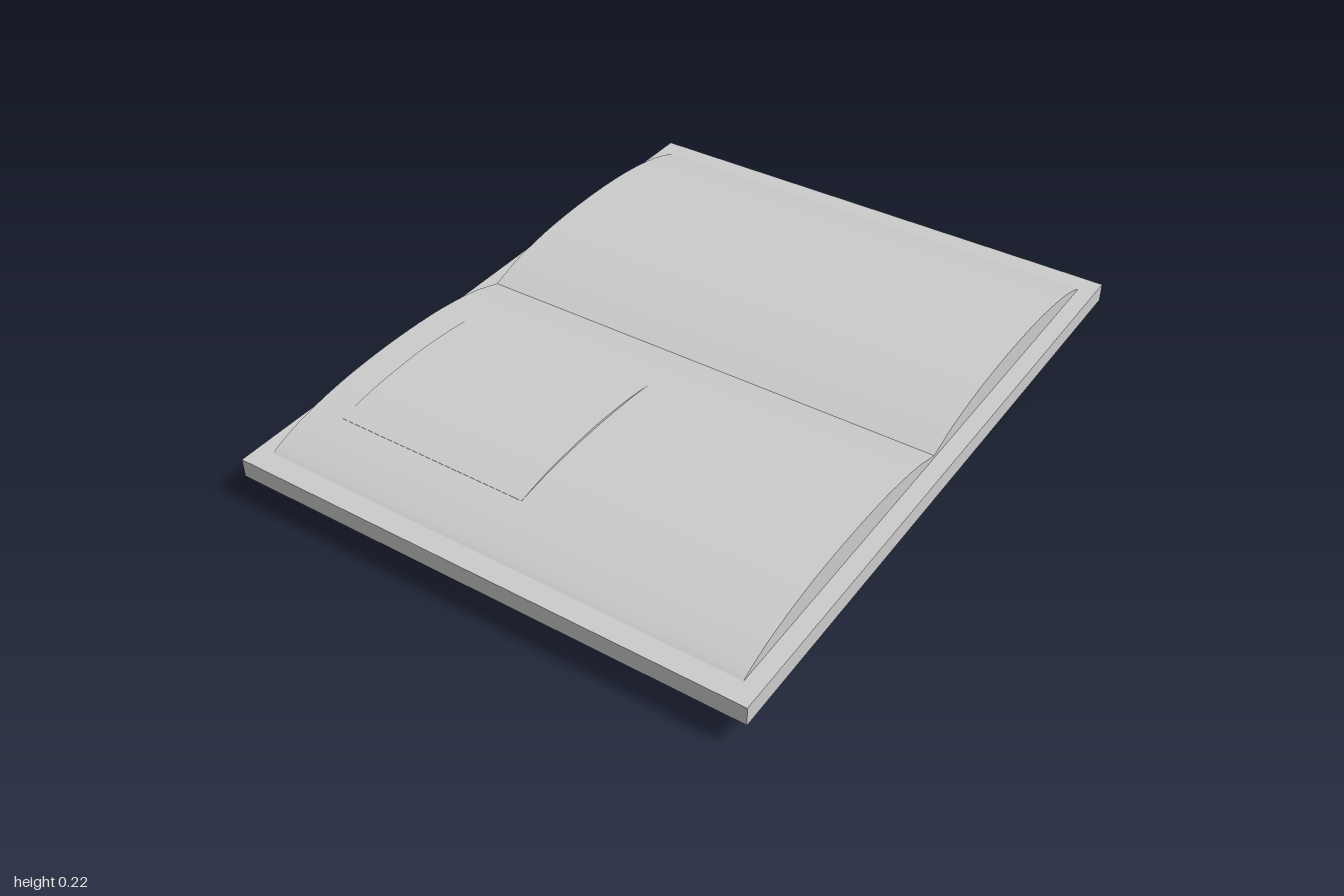
import * as THREE from 'three';
import { toCreasedNormals } from 'three/addons/utils/BufferGeometryUtils.js';

const material = new THREE.MeshStandardMaterial({ color: 0xcccccc });
const MID = 0.108;

// Smooth upper edge of a pillow, as [z, height above the mid plane]
const crown = [[0, 0.043], [0.04, 0.056], [0.12, 0.078], [0.28, 0.1], [0.47, 0.107],
  [0.65, 0.1], [0.8, 0.079], [0.89, 0.055], [0.935, 0.036], [0.95, 0.022]];
const crownPoints = new THREE.SplineCurve(crown.map(([z, h]) => new THREE.Vector2(z, h))).getPoints(48);

// Extrude a (z, y) outline across x between two limits
function across(name, outline, x0, x1) {
  const extruded = new THREE.ExtrudeGeometry(new THREE.Shape(outline), {
    depth: x1 - x0, bevelEnabled: false,
  });
  extruded.rotateY(-Math.PI / 2).translate(x1, 0, 0);
  const mesh = new THREE.Mesh(toCreasedNormals(extruded, 0.5), material);
  mesh.name = name;
  return mesh;
}

// Lens-shaped pillow, mirrored above and below the mid plane
function pillow(name, side) {
  const top = crownPoints.map((p) => new THREE.Vector2(side * p.x, MID + p.y));
  const bottom = crownPoints.map((p) => new THREE.Vector2(side * p.x, MID - p.y)).reverse();
  return across(name, [...top, ...bottom], -0.73, 0.73);
}

export function createModel() {
  const group = new THREE.Group();
  group.name = 'doublePillowPanel';

  // Flat rectangular frame slab
  const slab = new THREE.Mesh(new THREE.BoxGeometry(1.56, 0.056, 2), material);
  slab.name = 'frameSlab';
  slab.position.y = 0.115;
  group.add(slab);

  // Front and back pillows meeting in a valley at the middle
  group.add(pillow('frontPillow', 1), pillow('backPillow', -1));

  // Slightly raised patch on the front pillow, its ends sinking into the surface
  const patchTop = new THREE.SplineCurve([[0.19, 0.197], [0.3, 0.213], [0.46, 0.222],
    [0.62, 0.215], [0.7, 0.206], [0.77, 0.193]].map(([z, y]) => new THREE.Vector2(z, y))).getPoints(32);
  const patchOutline = [...patchTop, new THREE.Vector2(0.77, 0.17), new THREE.Vector2(0.19, 0.17)];
  group.add(across('raisedPatch', patchOutline, -0.63, -0.03));

  return group;
}
